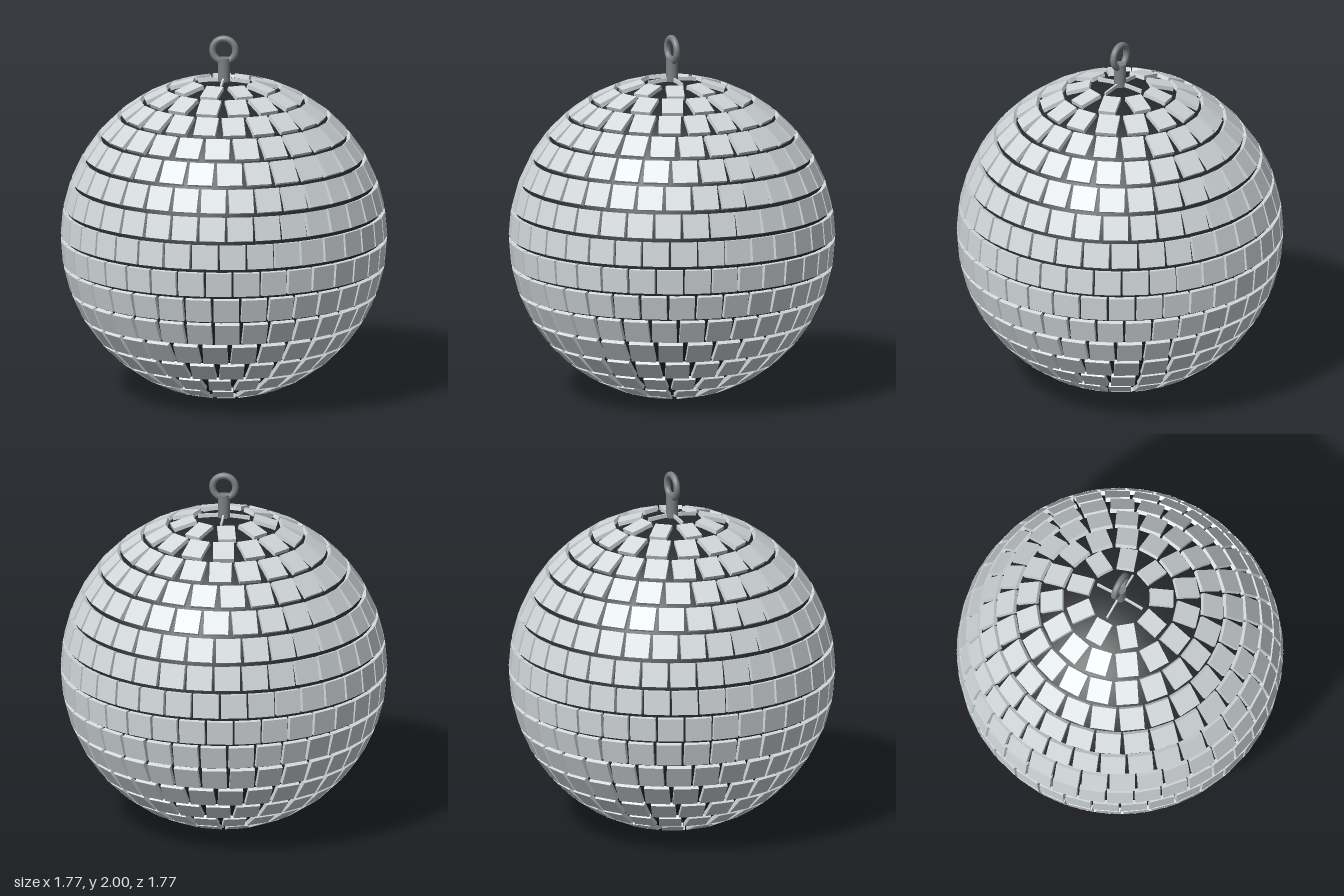
import * as THREE from 'three';
import { mergeGeometries } from 'three/addons/utils/BufferGeometryUtils.js';

const CENTER_Y = 0.884;
const OUTER = 0.882;   // radius to the face of a tile
const THICK = 0.026;
const ROWS = 18;
const STEP = Math.PI / ROWS;

// One horizontal ring of flat mirror tiles, merged into a single geometry
function tileRow(row) {
  const polar = (row + 0.5) * STEP;
  const count = Math.max(4, Math.round(2 * ROWS * Math.sin(polar)));
  // tiles are as wide as the narrower edge of their row allows
  const narrow = Math.min(Math.sin(row * STEP), Math.sin((row + 1) * STEP));
  const width = Math.max(0.01, (OUTER * narrow * 2 * Math.PI) / count - 0.012);
  const holder = new THREE.Object3D();
  const tiles = [];
  for (let i = 0; i < count; i++) {
    // every second row is shifted by half a tile
    const around = ((i + (row % 2) / 2) / count) * Math.PI * 2;
    const dir = new THREE.Vector3(
      Math.sin(polar) * Math.cos(around), Math.cos(polar), Math.sin(polar) * Math.sin(around));
    holder.position.copy(dir).multiplyScalar(OUTER - THICK / 2);
    holder.lookAt(dir.multiplyScalar(2));
    holder.updateMatrix();
    tiles.push(new THREE.BoxGeometry(width, 0.131, THICK).applyMatrix4(holder.matrix));
  }
  return mergeGeometries(tiles);
}

export function createModel() {
  const model = new THREE.Group();
  model.name = 'mirrorBall';
  const dark = new THREE.MeshStandardMaterial({ color: 0x26282b });
  const mirror = new THREE.MeshStandardMaterial({ color: 0xd3d9db });
  const metal = new THREE.MeshStandardMaterial({ color: 0x7c8082 });

  const add = (name, geometry, material, y) => {
    const mesh = new THREE.Mesh(geometry, material);
    mesh.name = name;
    mesh.position.y = y;
    model.add(mesh);
  };

  // Dark core showing between the tiles
  add('core', new THREE.SphereGeometry(0.862, 64, 40), dark, CENTER_Y);

  // Mirror tiles, row by row from the top
  for (let row = 0; row < ROWS; row++) add('tileRow' + (row + 1), tileRow(row), mirror, CENTER_Y);

  // Hanging stem and ring
  add('stem', new THREE.CylinderGeometry(0.033, 0.033, 0.145, 24), metal, 1.803);
  add('hangingRing', new THREE.TorusGeometry(0.063, 0.018, 12, 40), metal, 1.919);
  return model;
}
